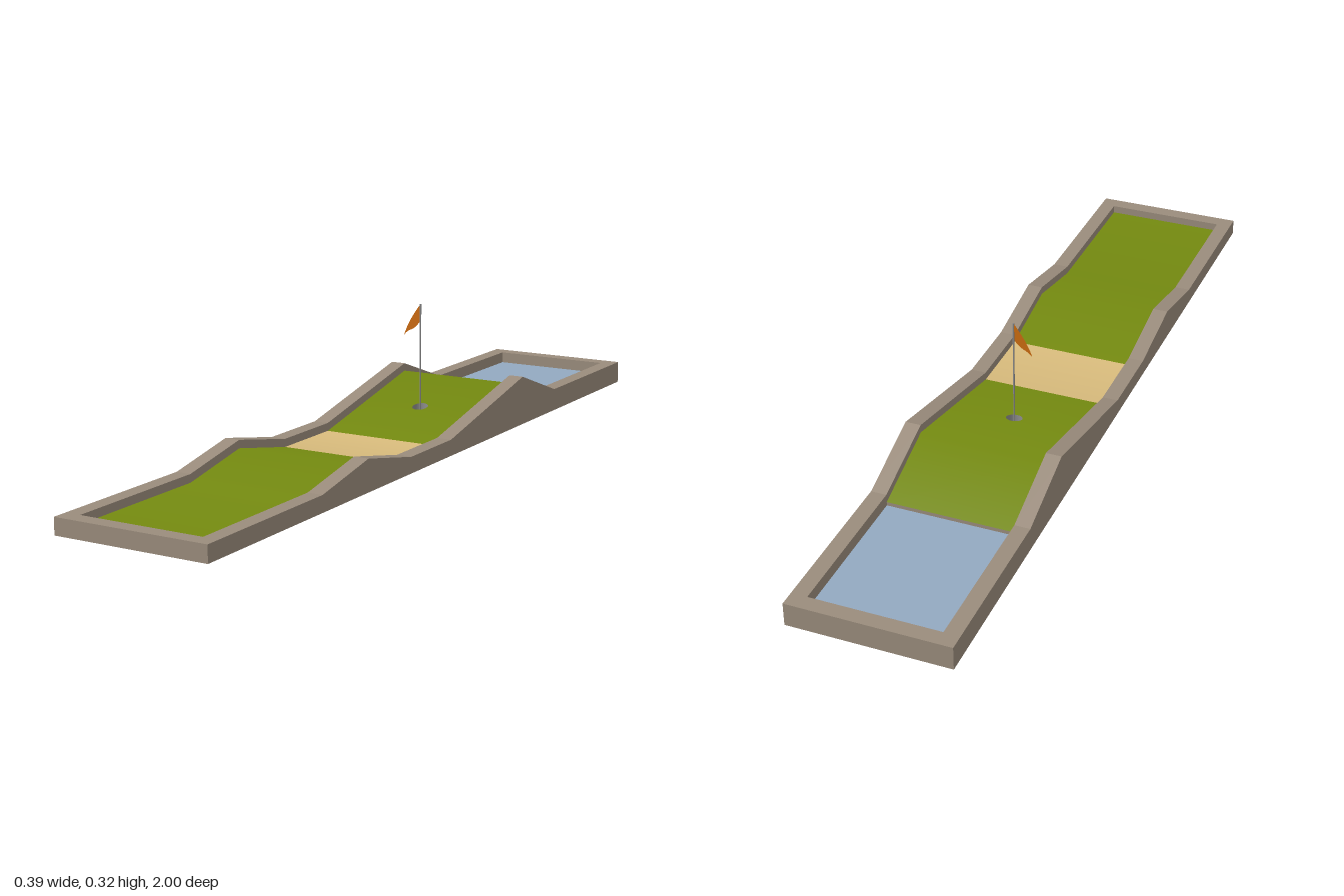
import * as THREE from 'three';

const OUT = 0.193, IN = 0.155, END = 0.962, DROP = 0.02;
const POOL_Z = -0.577, POOL_FLOOR = 0.02, WATER = 0.028;
const CUP_Z = -0.193, CUP_R = 0.02;

// Rail height along the course: [z, y] from front to back
const rail = [[1, 0.04], [0.578, 0.04], [0.386, 0.078], [0.193, 0.04], [0, 0.04],
  [-0.385, 0.125], [POOL_Z, 0.057], [-1, 0.057]];

const heightAt = (z) => {
  for (let i = 0; i < rail.length - 1; i++) {
    const [z0, y0] = rail[i], [z1, y1] = rail[i + 1];
    if (z <= z0 && z >= z1) return y0 + (y1 - y0) * (z0 - z) / (z0 - z1);
  }
  return rail[0][1];
};

// Smoothed turf normal: averaged at each knot, blended between knots
const segNormal = (i) => {
  const [z0, y0] = rail[i], [z1, y1] = rail[i + 1];
  return new THREE.Vector3(0, z0 - z1, y1 - y0).normalize();
};
const knotNormal = (i) => {
  if (i === 0) return segNormal(0);
  if (i >= 6) return segNormal(5);
  return segNormal(i - 1).add(segNormal(i)).normalize();
};
const normalAt = (z) => {
  let i = 0;
  while (i < 5 && z < rail[i + 1][0]) i++;
  const t = THREE.MathUtils.clamp((rail[i][0] - z) / (rail[i][0] - rail[i + 1][0]), 0, 1);
  return knotNormal(i).lerp(knotNormal(i + 1), t).normalize();
};

// Flat-shaded ribbon between two lines of points
function ribbon(a, b) {
  const p = [];
  for (let i = 0; i < a.length - 1; i++) {
    p.push(...a[i], ...b[i], ...b[i + 1], ...a[i], ...b[i + 1], ...a[i + 1]);
  }
  const g = new THREE.BufferGeometry();
  g.setAttribute('position', new THREE.Float32BufferAttribute(p, 3));
  g.computeVertexNormals();
  return g;
}

// Turf panel between two z positions, with an optional round hole
function turfPanel(z0, z1, hole) {
  const s = new THREE.Shape([
    new THREE.Vector2(-IN, -z0), new THREE.Vector2(IN, -z0),
    new THREE.Vector2(IN, -z1), new THREE.Vector2(-IN, -z1)]);
  if (hole) s.holes.push(new THREE.Path().absarc(0, -CUP_Z, CUP_R, 0, Math.PI * 2, true));
  const g = new THREE.ShapeGeometry(s, 12);
  const p = g.attributes.position, n = g.attributes.normal;
  for (let i = 0; i < p.count; i++) {
    const z = -p.getY(i), v = normalAt(z);
    p.setXYZ(i, p.getX(i), heightAt(z) - DROP, z);
    n.setXYZ(i, v.x, v.y, v.z);
  }
  return g;
}

export function createModel() {
  const group = new THREE.Group();
  const mat = (name, color) => {
    const m = new THREE.MeshStandardMaterial({ color, side: THREE.DoubleSide });
    m.name = name;
    return m;
  };
  const stone = mat('stone', 0x9a8c7c), turf = mat('turf', 0x748a10);
  const sand = mat('sand', 0xd8bb7c), water = mat('water', 0x93a9c0);
  const metal = mat('metal', 0x8c8c8c), cloth = mat('flag orange', 0xcc6c10);
  const add = (name, geo, m) => {
    const mesh = new THREE.Mesh(geo, m);
    mesh.name = name;
    group.add(mesh);
    return mesh;
  };

  // Hollow frame: side rails
  const clampZ = (z) => THREE.MathUtils.clamp(z, -END, END);
  for (const s of [1, -1]) {
    const side = s > 0 ? 'left' : 'right';
    const order = (a, b) => (s > 0 ? ribbon(a, b) : ribbon(b, a));
    const top = rail.map(([z, y]) => [s * OUT, y, z]);
    const foot = rail.map(([z]) => [s * OUT, 0, z]);
    const lip = rail.map(([z, y]) => [s * IN, y, clampZ(z)]);
    add(side + 'OuterWall', order(top, foot), stone);
    add(side + 'RailTop', order(lip, top), stone);
    const turfEdge = lip.slice(0, 7).map(([x, y, z]) => [x, y - DROP, z]);
    add(side + 'InnerWall', order(turfEdge, lip.slice(0, 7)), stone);
    const poolEdge = lip.slice(6).map(([x, , z]) => [x, POOL_FLOOR, z]);
    add(side + 'PoolWall', order(poolEdge, lip.slice(6)), stone);
  }

  // Frame ends
  for (const s of [1, -1]) {
    const end = s > 0 ? 'front' : 'back';
    const y = heightAt(s), low = s > 0 ? y - DROP : POOL_FLOOR;
    const line = (x, h, z) => [[-s * x, h, s * z], [s * x, h, s * z]];
    add(end + 'OuterWall', ribbon(line(OUT, y, 1), line(OUT, 0, 1)), stone);
    add(end + 'RailTop', ribbon(line(IN, y, END), line(OUT, y, 1)), stone);
    add(end + 'InnerWall', ribbon(line(IN, low, END), line(IN, y, END)), stone);
  }

  // Water trough
  const across = (h, z) => [[-IN, h, z], [IN, h, z]];
  add('poolFloor', ribbon(across(POOL_FLOOR, -END), across(POOL_FLOOR, POOL_Z)), stone);
  add('poolLip', ribbon(across(POOL_FLOOR, POOL_Z), across(heightAt(POOL_Z) - DROP, POOL_Z)), stone);
  add('waterSurface', ribbon(across(WATER, -END), across(WATER, POOL_Z)), water);

  // Playing surface
  const stops = [END, ...rail.slice(1, 7).map(([z]) => z)];
  for (let i = 0; i < stops.length - 1; i++) {
    const isSand = i === 3;
    add(isSand ? 'sandStrip' : 'turf' + i, turfPanel(stops[i], stops[i + 1], i === 4), isSand ? sand : turf);
  }

  // Cup, its rim cut to the slope
  const cupY = heightAt(CUP_Z) - DROP, cupBase = cupY - 0.03;
  const wall = new THREE.CylinderGeometry(CUP_R, CUP_R, 0.03, 24, 1, true);
  wall.translate(0, cupY - 0.015, CUP_Z);
  const p = wall.attributes.position;
  for (let i = 0; i < p.count; i++) {
    if (p.getY(i) > cupY - 0.01) p.setY(i, heightAt(p.getZ(i)) - DROP);
  }
  add('cupWall', wall, metal);
  add('cupBase', new THREE.CircleGeometry(CUP_R, 24).rotateX(-Math.PI / 2).translate(0, cupBase, CUP_Z), metal);

  // Pole and pennant
  const poleTop = 0.325;
  add('flagPole', new THREE.CylinderGeometry(0.002, 0.002, poleTop - cupBase, 10), metal)
    .position.set(0, (poleTop + cupBase) / 2, CUP_Z);
  const flag = new THREE.Shape();
  flag.moveTo(0, 0.325);
  flag.quadraticCurveTo(-0.035, 0.28, -0.047, 0.243);
  flag.bezierCurveTo(-0.03, 0.264, -0.02, 0.252, 0, 0.283);
  add('flag', new THREE.ShapeGeometry(flag, 8).translate(0, 0, CUP_Z), cloth);

  return group;
}
